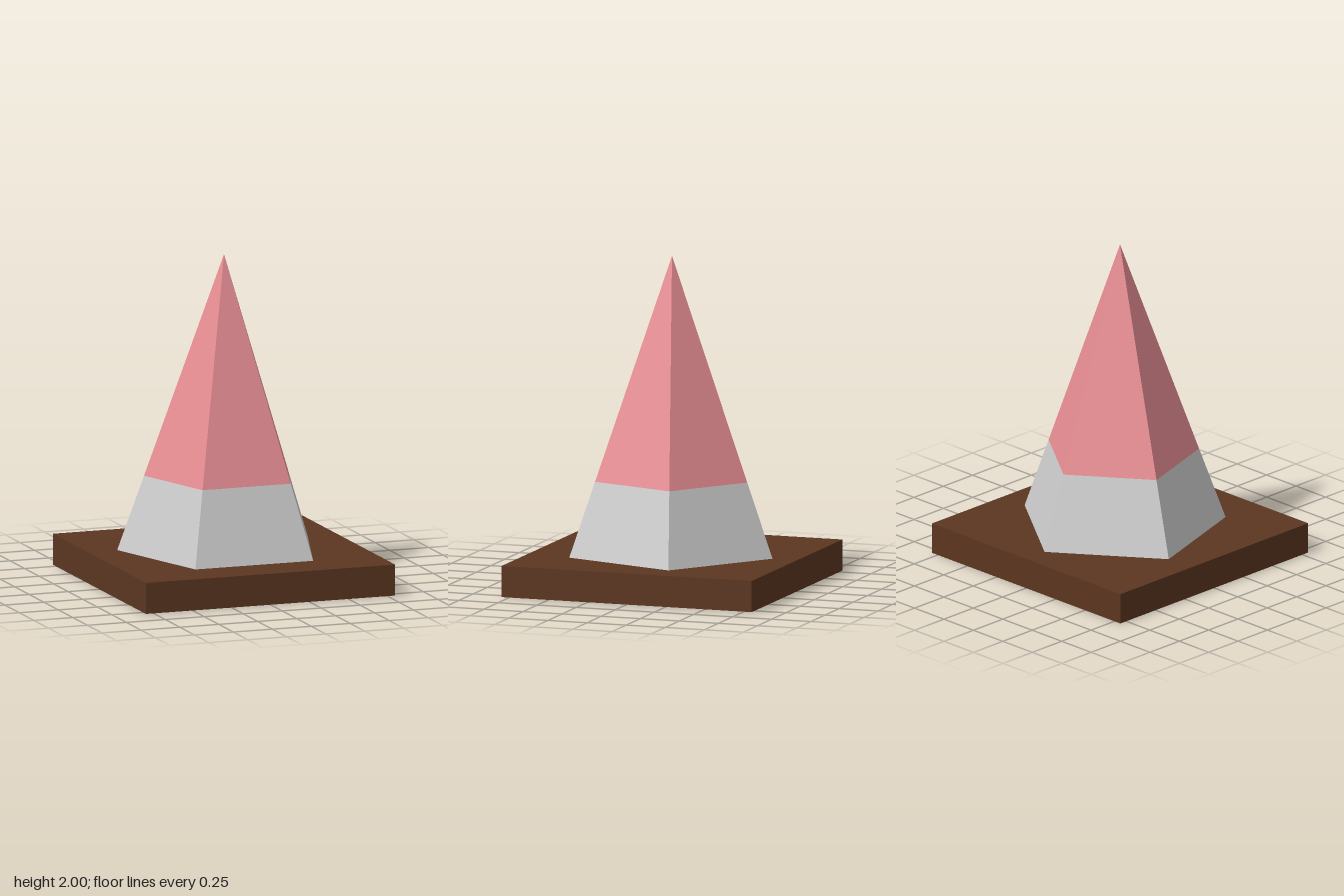
import * as THREE from 'three';

export function createModel() {
  const group = new THREE.Group();
  const slabTop = 0.19, bandTop = 0.645, apex = 2, baseRadius = 0.643;
  const radiusAt = (y) => baseRadius * (apex - y) / (apex - slabTop);

  const add = (name, geometry, color, y) => {
    const material = new THREE.MeshStandardMaterial({ color, flatShading: true });
    const mesh = new THREE.Mesh(geometry, material);
    mesh.name = name;
    mesh.position.y = y;
    group.add(mesh);
  };

  // Five-sided slice of the spire, with one corner pointing to the back
  const slice = (y0, y1) =>
    new THREE.CylinderGeometry(radiusAt(y1), radiusAt(y0), y1 - y0, 5, 1, true, Math.PI);

  // Square wooden slab
  add('baseSlab', new THREE.BoxGeometry(1.6, slabTop, 1.6), 0x5c3620, slabTop / 2);

  // Grey lower band and pink tip share the same slope
  add('lowerBand', slice(slabTop, bandTop), 0xcccccc, (slabTop + bandTop) / 2);
  add('spireTip', slice(bandTop, apex), 0xe88e94, (bandTop + apex) / 2);

  return group;
}
